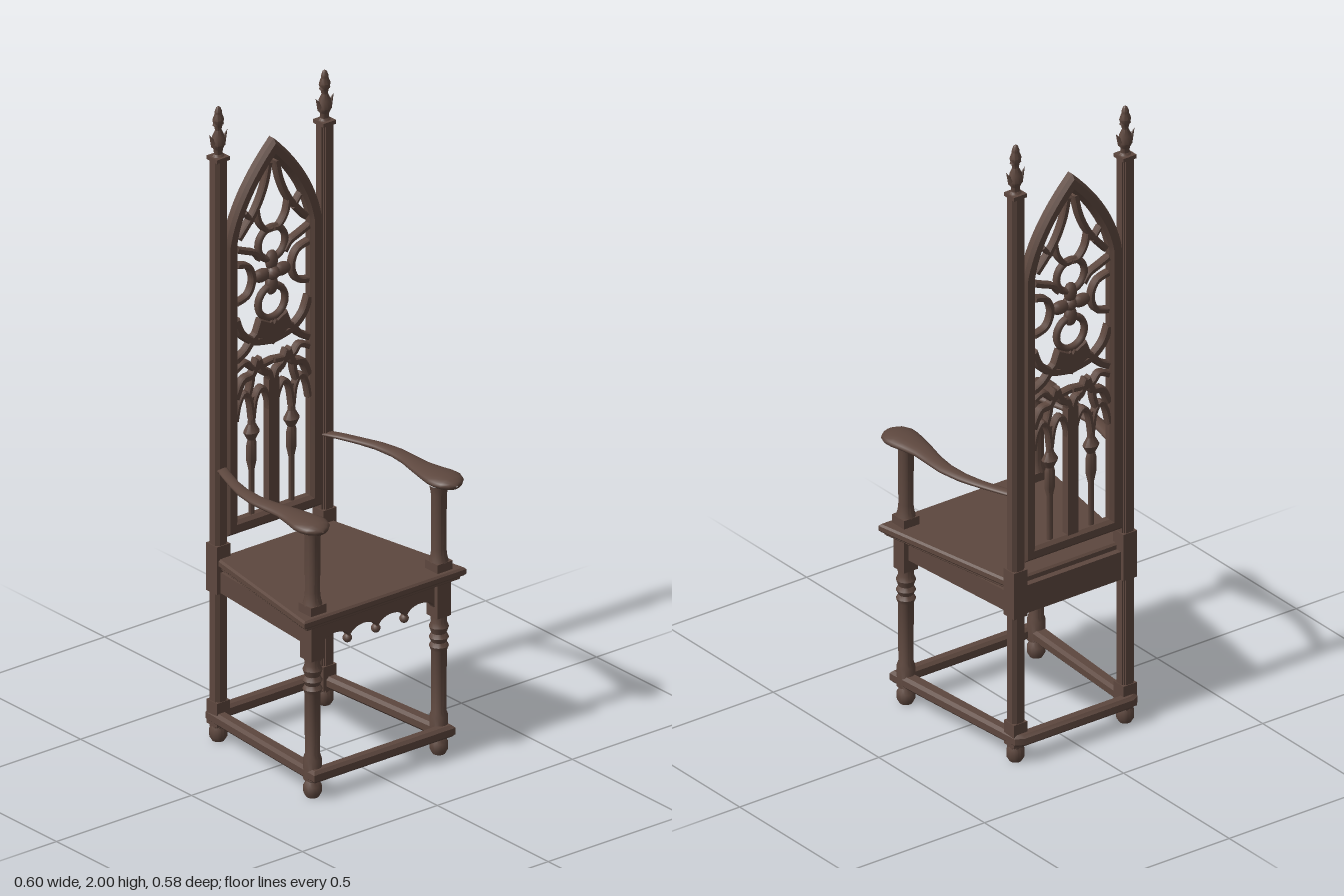
import * as THREE from 'three';
import { toCreasedNormals } from 'three/addons/utils/BufferGeometryUtils.js';

const BACK_Z = -0.248, POST_X = 0.197, LEG_X = 0.234, LEG_Z = 0.222;

export function createModel() {
  const wood = new THREE.MeshStandardMaterial({ color: 0x5d473e });
  wood.name = 'dark wood';
  const chair = new THREE.Group();
  chair.name = 'chair';

  const V = (x, y) => new THREE.Vector2(x, y);
  function add(name, geo, x = 0, y = 0, z = 0, parent = chair) {
    const m = new THREE.Mesh(geo, wood);
    m.name = name;
    m.position.set(x, y, z);
    parent.add(m);
    return m;
  }
  const box = (name, w, h, d, x, y, z, parent) => add(name, new THREE.BoxGeometry(w, h, d), x, y, z, parent);
  const lathe = (pts, seg = 16) =>
    toCreasedNormals(new THREE.LatheGeometry(pts.map(p => V(p[0], p[1])), seg), 0.7);

  // Plate extruded around z = 0, with soft edges kept inside the outline
  function plate(shape, depth, bevel = 0.005) {
    const g = new THREE.ExtrudeGeometry(shape, {
      depth: depth - 2 * bevel, bevelEnabled: true, bevelThickness: bevel, bevelSize: bevel,
      bevelOffset: -bevel, bevelSegments: 1, curveSegments: 14,
    });
    g.translate(0, 0, -depth / 2 + bevel);
    return toCreasedNormals(g, 0.5);
  }
  // Flat moulding strip following a smooth path in the xy plane
  function strip(path, width, depth = 0.026) {
    const curve = new THREE.SplineCurve(path.map(p => V(p[0], p[1])));
    const left = [], right = [];
    for (let i = 0; i <= 18; i++) {
      const p = curve.getPoint(i / 18), t = curve.getTangent(i / 18);
      left.push(V(p.x - t.y * width / 2, p.y + t.x * width / 2));
      right.unshift(V(p.x + t.y * width / 2, p.y - t.x * width / 2));
    }
    return plate(new THREE.Shape([...left, ...right]), depth, 0.004);
  }
  // Horizontal slab from an outline of [x, z] points
  function slab(outline, hole, height, bevel) {
    const flip = list => list.map(p => V(p[0], -p[1]));
    const s = new THREE.Shape(flip(outline));
    if (hole) s.holes.push(new THREE.Path(flip(hole)));
    return plate(s, height, bevel).rotateX(-Math.PI / 2);
  }

  // Seat with a thin moulding beneath
  add('seat', slab([[-0.3, 0.266], [0.3, 0.266], [0.213, -0.24], [-0.213, -0.24]], null, 0.026, 0.006), 0, 0.572, 0);
  add('seatMoulding', slab([[-0.285, 0.256], [0.285, 0.256], [0.204, -0.235], [-0.204, -0.235]], null, 0.014, 0.003), 0, 0.555, 0);

  // Low stretcher frame around the legs
  add('stretcherFrame', slab(
    [[-0.262, 0.264], [0.262, 0.264], [0.221, -0.276], [0.195, -0.29], [-0.195, -0.29], [-0.221, -0.276]],
    [[-0.212, 0.226], [0.212, 0.226], [0.182, -0.25], [-0.182, -0.25]], 0.038, 0.009), 0, 0.08, 0);

  // Scalloped front apron with little pendants
  const apron = new THREE.Shape([V(0.21, 0.55), V(-0.21, 0.55), V(-0.21, 0.47)]);
  for (let i = 0; i < 4; i++) {
    const x = -0.21 + i * 0.105;
    apron.bezierCurveTo(x + 0.015, 0.51, x + 0.09, 0.51, x + 0.105, 0.47);
  }
  add('frontApron', plate(apron, 0.024, 0.003), 0, 0, LEG_Z);
  for (const x of [-0.105, 0, 0.105])
    add('apronPendant', new THREE.SphereGeometry(0.014, 10, 8), x, 0.466, LEG_Z);
  box('backApron', 0.37, 0.09, 0.024, 0, 0.52, BACK_Z);

  // Turned front leg and arm support profiles
  const legProfile = lathe([[0, 0.005], [0.019, 0.005], [0.027, 0.02], [0.027, 0.04], [0.018, 0.055],
    [0.027, 0.06], [0.027, 0.125], [0.022, 0.14], [0.023, 0.33], [0.029, 0.345], [0.022, 0.357],
    [0.029, 0.372], [0.022, 0.385], [0.029, 0.405], [0.023, 0.42], [0.025, 0.45], [0, 0.45]]);
  const supportProfile = lathe([[0.029, 0.61], [0.024, 0.63], [0.022, 0.65], [0.023, 0.82], [0.028, 0.85]]);
  // Finial: leafy bulb, collar and bud
  const finialProfile = lathe([[0.022, 1.84], [0.014, 1.85], [0.015, 1.865], [0.023, 1.88], [0.02, 1.905],
    [0.01, 1.925], [0.014, 1.94], [0.019, 1.957], [0.012, 1.975], [0.012, 1.982], [0.007, 1.995], [0, 2.0]], 10);
  const leaf = new THREE.ConeGeometry(0.012, 0.045, 6);

  // Post section: square with a stepped groove at each corner
  function postGeometry(height) {
    const a = 0.0215, b = 0.013, c = 0.017;
    const corner = [[a, b], [c, b], [c, c], [b, c], [b, a]];
    const pts = [];
    for (let k = 0; k < 4; k++) {
      const cs = Math.round(Math.cos(k * Math.PI / 2)), sn = Math.round(Math.sin(k * Math.PI / 2));
      for (const [x, y] of corner) pts.push(V(x * cs - y * sn, x * sn + y * cs));
    }
    return new THREE.ExtrudeGeometry(new THREE.Shape(pts), { depth: height, bevelEnabled: false }).rotateX(-Math.PI / 2);
  }
  const post = postGeometry(1.79);
  const backFoot = lathe([[0, 0.005], [0.018, 0.005], [0.026, 0.018], [0.026, 0.042], [0.019, 0.06]]);

  // Arm sections: z, x, half width, y, half height
  const armSections = [
    [-0.24, 0.192, 0.002, 0.86, 0.002], [-0.238, 0.193, 0.018, 0.86, 0.007], [-0.19, 0.213, 0.018, 0.861, 0.008],
    [-0.13, 0.235, 0.018, 0.861, 0.009], [-0.07, 0.252, 0.02, 0.862, 0.011], [0, 0.26, 0.024, 0.863, 0.012],
    [0.06, 0.256, 0.027, 0.864, 0.013], [0.12, 0.248, 0.034, 0.865, 0.014], [0.175, 0.247, 0.045, 0.865, 0.017],
    [0.21, 0.248, 0.052, 0.865, 0.02], [0.24, 0.248, 0.053, 0.865, 0.02], [0.264, 0.248, 0.044, 0.864, 0.017],
    [0.28, 0.248, 0.026, 0.862, 0.012], [0.287, 0.248, 0.002, 0.861, 0.002]];
  function armGeometry(side) {
    const n = 16, pos = [], idx = [];
    armSections.forEach(([z, x, w, y, h], i) => {
      for (let j = 0; j < n; j++) {
        const a = j / n * Math.PI * 2;
        pos.push(side * x + w * Math.cos(a), y + h * Math.sin(a), z);
        if (i === armSections.length - 1) continue;
        const p = i * n + j, q = i * n + (j + 1) % n;
        idx.push(p, q, p + n, q, q + n, p + n);
      }
    });
    const g = new THREE.BufferGeometry();
    g.setAttribute('position', new THREE.Float32BufferAttribute(pos, 3));
    g.setIndex(idx);
    g.computeVertexNormals();
    return g;
  }

  // Everything that stands in left and right pairs
  for (const s of [1, -1]) {
    add('frontLeg', legProfile, s * LEG_X, 0, LEG_Z);
    box('frontLegBlock', 0.05, 0.11, 0.05, s * LEG_X, 0.495, LEG_Z);
    box('armSupportBase', 0.056, 0.028, 0.056, s * LEG_X, 0.598, LEG_Z);
    add('armSupport', supportProfile, s * LEG_X, 0, LEG_Z);
    add('armrest', armGeometry(s));

    const rail = box('sideApron', 0.022, 0.065, 0.44, s * 0.215, 0.51, -0.01);
    rail.rotation.y = s * 0.084;

    add('backPost', post, s * POST_X, 0.05, BACK_Z);
    add('backFoot', backFoot, s * POST_X, 0, BACK_Z);
    box('lowerPostBlock', 0.048, 0.075, 0.048, s * POST_X, 0.095, BACK_Z);
    box('seatPostBlock', 0.049, 0.15, 0.049, s * POST_X, 0.55, BACK_Z);
    box('postCap', 0.047, 0.012, 0.047, s * POST_X, 1.837, BACK_Z);
    const finial = new THREE.Group();
    finial.name = 'finial';
    finial.position.set(s * POST_X, 0, BACK_Z);
    chair.add(finial);
    add('finialCore', finialProfile, 0, 0, 0, finial).scale.z = 0.8;
    for (const t of [1, -1]) {
      add('lowerLeaf', leaf, t * 0.023, 1.898, 0, finial).rotation.z = -t * 0.5;
      add('upperLeaf', leaf, t * 0.01, 1.958, 0, finial).scale.setScalar(0.75);
    }
  }

  // Pointed back frame
  const frame = new THREE.Shape([V(-0.178, 0.64), V(0.178, 0.64), V(0.178, 1.55)]);
  frame.quadraticCurveTo(0.15, 1.7, 0, 1.845);
  frame.quadraticCurveTo(-0.15, 1.7, -0.178, 1.55);
  const opening = new THREE.Path([V(-0.134, 0.682), V(0.134, 0.682), V(0.134, 1.55)]);
  opening.quadraticCurveTo(0.112, 1.67, 0, 1.785);
  opening.quadraticCurveTo(-0.112, 1.67, -0.134, 1.55);
  frame.holes.push(opening);
  add('backFrame', plate(frame, 0.04, 0.01), 0, 0, BACK_Z);

  const tracery = new THREE.Group();
  tracery.name = 'tracery';
  tracery.position.z = BACK_Z;
  chair.add(tracery);
  const rib = (name, path, w) => add(name, strip(path, w), 0, 0, 0, tracery);

  // Mullions: one plain in the centre, one turned on each side
  box('centreMullion', 0.038, 0.42, 0.026, 0, 0.88, 0, tracery);
  const turned = lathe([[0.01, 0.67], [0.01, 0.82], [0.017, 0.85], [0.017, 0.9], [0.013, 0.915], [0.027, 0.94],
    [0.013, 0.965], [0.011, 0.99], [0.011, 1.05]], 10);
  for (const s of [1, -1]) {
    add('turnedMullion', turned, s * 0.074, 0, 0, tracery).scale.z = 0.75;
    // Lancet heads over the four bays, under an ogee on each half
    rib('outerLancet', [[s * 0.136, 0.99], [s * 0.125, 1.04], [s * 0.104, 1.07], [s * 0.083, 1.04], [s * 0.074, 0.98]], 0.016);
    rib('innerLancet', [[s * 0.074, 0.98], [s * 0.064, 1.04], [s * 0.042, 1.07], [s * 0.02, 1.04], [s * 0.01, 0.99]], 0.016);
    rib('ogeeOuter', [[s * 0.136, 1.06], [s * 0.11, 1.11], [s * 0.075, 1.12], [s * 0.055, 1.165]], 0.022);
    rib('ogeeInner', [[s * 0.055, 1.165], [s * 0.035, 1.12], [s * 0.015, 1.11], [0, 1.06]], 0.022);
    rib('archBrace', [[s * 0.136, 1.15], [s * 0.1, 1.165], [s * 0.07, 1.14], [0, 1.145]], 0.018);
    rib('lancetTie', [[s * 0.09, 1.06], [s * 0.08, 1.09], [s * 0.075, 1.125]], 0.018);
    // Sweeping arms around the rose
    rib('roseSupport', [[s * 0.136, 1.31], [s * 0.115, 1.26], [s * 0.07, 1.225], [0, 1.21]], 0.024);
    rib('roseFoot', [[s * 0.136, 1.18], [s * 0.1, 1.2], [s * 0.06, 1.24], [0, 1.265]], 0.022);
    rib('roseSide', [[s * 0.134, 1.36], [s * 0.09, 1.375], [s * 0.072, 1.42], [s * 0.09, 1.465], [s * 0.134, 1.48]], 0.018);
    rib('roseShoulder', [[s * 0.136, 1.53], [s * 0.1, 1.515], [s * 0.065, 1.5], [s * 0.045, 1.475]], 0.018);
    // Bars dividing the pointed head
    rib('headBar', [[s * 0.012, 1.775], [s * 0.03, 1.7], [s * 0.065, 1.63], [s * 0.125, 1.56]], 0.02);
    rib('headCurl', [[s * 0.06, 1.64], [s * 0.05, 1.595], [s * 0.025, 1.562], [0, 1.56]], 0.016);
    rib('headSpur', [[s * 0.105, 1.64], [s * 0.085, 1.615], [s * 0.075, 1.6]], 0.014);
  }
  // Upper and lower rose rings, with a solid web at the bottom
  for (const y of [1.513, 1.328])
    add('roseRing', new THREE.TorusGeometry(0.05, 0.011, 8, 28), 0, y, 0, tracery);
  add('roseWeb', plate(new THREE.Shape([V(-0.07, 1.24), V(0, 1.195), V(0.07, 1.24), V(0.05, 1.29), V(0, 1.265), V(-0.05, 1.29)]), 0.026, 0.004), 0, 0, 0, tracery);

  // Four petalled flower
  for (let k = 0; k < 4; k++) {
    const a = k * Math.PI / 2;
    const petal = add('petal', new THREE.SphereGeometry(1, 10, 8), 0.038 * Math.cos(a), 1.42 + 0.038 * Math.sin(a), 0, tracery);
    petal.scale.set(0.033, 0.021, 0.016);
    petal.rotation.z = a;
  }
  add('flowerBoss', new THREE.SphereGeometry(0.022, 12, 8), 0, 1.42, 0.004, tracery);

  return chair;
}
